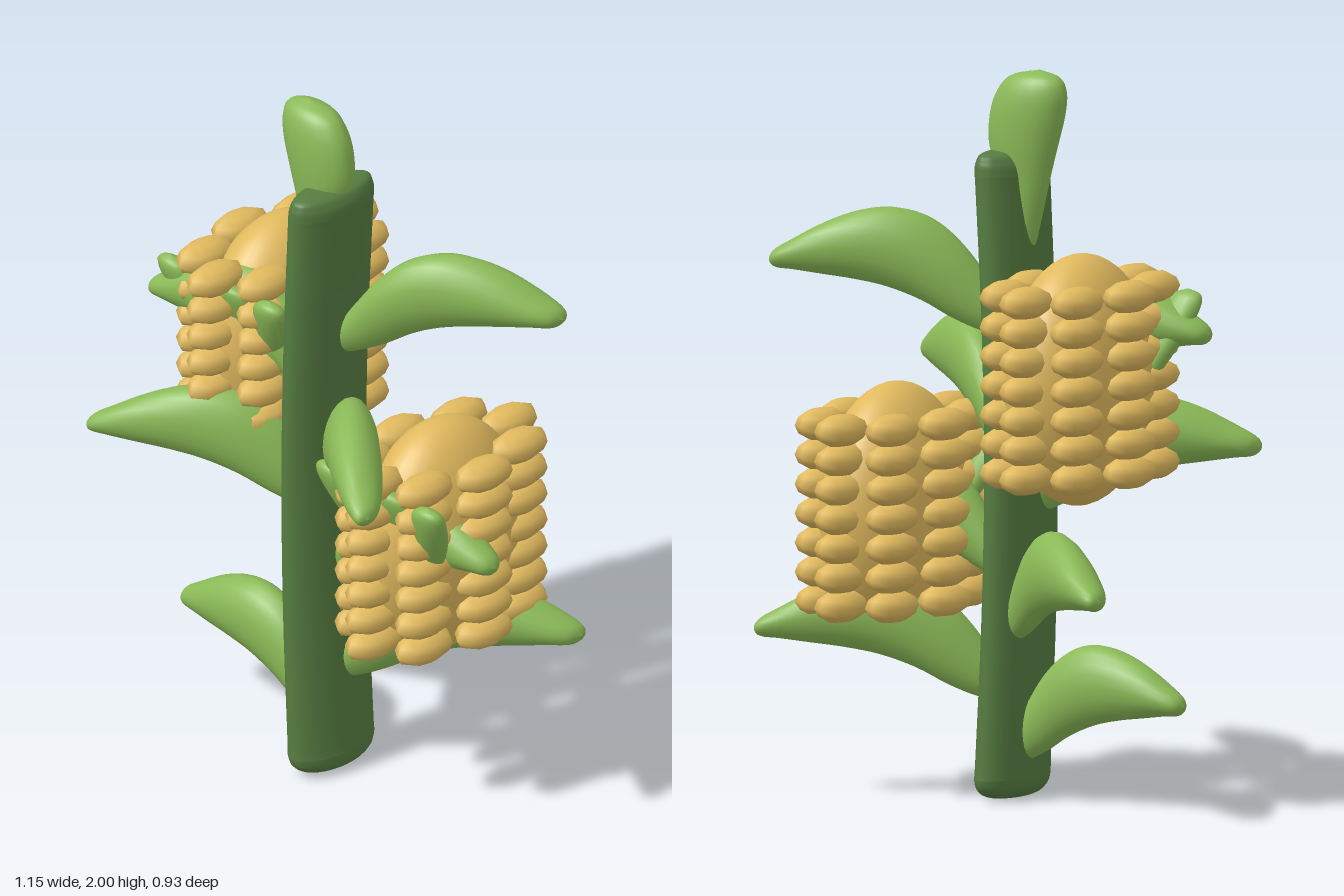
import * as THREE from 'three';
import { mergeGeometries } from 'three/addons/utils/BufferGeometryUtils.js';

// Smooth closed tube. Each row: centre [x, y, z] and half sizes [p, q].
// axis 'x': p = half height (y), q = half width (z); axis 'y': p = half depth (z), q = half width (x).
function loft(rows, axis, steps = 28, sides = 20) {
  const centre = new THREE.CatmullRomCurve3(rows.map(r => new THREE.Vector3(r[0], r[1], r[2])), false, 'catmullrom');
  const size = new THREE.CatmullRomCurve3(rows.map(r => new THREE.Vector3(r[3], r[4], 0)), false, 'catmullrom');
  const pos = [], index = [];
  for (let i = 0; i <= steps; i++) {
    const c = centre.getPoint(i / steps), s = size.getPoint(i / steps);
    for (let j = 0; j < sides; j++) {
      const a = (j / sides) * Math.PI * 2;
      const p = Math.max(s.x, 0.0005) * Math.cos(a), q = Math.max(s.y, 0.0005) * Math.sin(a);
      if (axis === 'x') pos.push(c.x, c.y + p, c.z + q);
      else pos.push(c.x + q, c.y, c.z + p);
      if (i === steps) continue;
      const k = (j + 1) % sides, A = i * sides + j, B = i * sides + k;
      index.push(A, B, A + sides, B, B + sides, A + sides);
    }
  }
  const g = new THREE.BufferGeometry();
  g.setAttribute('position', new THREE.Float32BufferAttribute(pos, 3));
  g.setIndex(index);
  g.computeVertexNormals();
  return g;
}

// Arched blade: distance from stalk, lower edge, upper edge, half width
const BLADE = [
  [0.01, 0.0, 0.0, 0.0], [0.03, -0.01, 0.09, 0.035], [0.07, 0.0, 0.16, 0.05],
  [0.13, 0.03, 0.245, 0.064], [0.2, 0.075, 0.305, 0.074], [0.28, 0.11, 0.33, 0.079],
  [0.36, 0.13, 0.32, 0.078], [0.44, 0.143, 0.288, 0.07], [0.515, 0.155, 0.242, 0.055],
  [0.56, 0.161, 0.212, 0.034], [0.574, 0.185, 0.185, 0.0],
];

export function createModel() {
  const group = new THREE.Group();
  const stalkGreen = new THREE.MeshStandardMaterial({ name: 'stalkGreen', color: 0x567c41 });
  const leafGreen = new THREE.MeshStandardMaterial({ name: 'leafGreen', color: 0x8bba57 });
  const cornYellow = new THREE.MeshStandardMaterial({ name: 'cornYellow', color: 0xe0b95e });

  const add = (parent, name, geometry, material) => {
    const m = new THREE.Mesh(geometry, material);
    m.name = name;
    parent.add(m);
    return m;
  };

  // Stalk: oval section, slightly bowed, rounded ends
  const bow = y => -0.032 * Math.sin((Math.PI * y) / 1.78);
  const stalkRows = [
    [0.004, 0, 0], [0.012, 0.045, 0.09], [0.03, 0.066, 0.13], [0.06, 0.073, 0.147], [0.12, 0.072, 0.147],
    [0.5, 0.069, 0.147], [0.9, 0.066, 0.147], [1.3, 0.067, 0.147], [1.66, 0.07, 0.147],
    [1.72, 0.071, 0.147], [1.75, 0.064, 0.143], [1.772, 0.045, 0.12], [1.778, 0, 0],
  ].map(([y, hx, hz]) => [bow(y), y, 0.01, hz, hx]);
  add(group, 'stalk', loft(stalkRows, 'y', 60, 28), stalkGreen);

  // Blades alternate left and right going up; each fans to its own depth at the tip
  const tipZ = [0.0, -0.36, -0.39, -0.04, 0.35, 0.43, 0.12, -0.29];
  tipZ.forEach((z, i) => {
    const side = i % 2 ? 1 : -1;
    const slope = (side * z) / 0.56;
    const base = 0.115 + 0.1665 * i;
    const rows = BLADE.map(([x, lo, up, w]) =>
      [x, base + (lo + up) / 2, slope * x, (up - lo) / 2, w * (0.9 + 0.35 * Math.abs(slope))]);
    const leaf = add(group, 'leaf' + (i + 1), loft(rows, 'x', 40), leafGreen);
    if (side < 0) leaf.rotation.y = Math.PI;
  });

  // Upright leaf at the top
  const topRows = [
    [-0.03, 1.42, 0, 0], [-0.035, 1.46, 0.025, 0.03], [-0.045, 1.6, 0.045, 0.058],
    [-0.047, 1.72, 0.058, 0.085], [-0.048, 1.8, 0.067, 0.106], [-0.062, 1.88, 0.069, 0.114],
    [-0.077, 1.94, 0.062, 0.105], [-0.088, 1.98, 0.042, 0.075], [-0.1, 2.0, 0, 0],
  ].map(([x, y, hz, hx]) => [x, y, 0, hz, hx]);
  add(group, 'topLeaf', loft(topRows, 'y', 36), leafGreen);

  // Kernel block: seven rings of eight low-poly kernels, half sunk in the core
  const kernels = [];
  for (let row = 0; row < 7; row++) {
    for (let k = 0; k < 8; k++) {
      const a = (k * Math.PI) / 4;
      kernels.push(new THREE.SphereGeometry(1, 8, 6).scale(0.057, 0.045, 0.1)
        .translate(0.163 * Math.cos(a), -0.24 + 0.08 * row, 0.255 * Math.sin(a)));
    }
  }
  const kernelGeometry = mergeGeometries(kernels);
  const coreGeometry = new THREE.SphereGeometry(1, 32, 24).scale(0.17, 0.343, 0.27);

  // Husk leaf standing against the front of a cob, leaning out by dx
  const husk = (dx, hx) => loft([
    [0, 0, 0, 0, 0], [0.05, 0.03, 0.05, 0.02, 0.35], [0.3, 0.09, 0.25, 0.034, 0.65],
    [0.6, 0.16, 0.55, 0.04, 0.9], [0.85, 0.23, 0.85, 0.036, 1],
    [0.97, 0.265, 0.97, 0.025, 0.75], [1, 0.28, 1, 0, 0],
  ].map(([t, y, d, hz, w]) => [dx * (0.6 + 0.4 * t), y - 0.045, 0.14 + 0.1 * d, hz, hx * w]), 'y', 24, 16);

  // Two cobs, one each side
  for (const [name, x, y] of [['leftCob', 0.302, 0.785], ['rightCob', -0.305, 1.185]]) {
    const cob = new THREE.Group();
    cob.name = name;
    cob.position.set(x, y, -0.105);
    add(cob, 'core', coreGeometry, cornYellow);
    add(cob, 'kernels', kernelGeometry, cornYellow);
    add(cob, 'innerHusk', husk(-0.19, 0.056), leafGreen);
    add(cob, 'middleHusk', husk(0, 0.1), leafGreen);
    add(cob, 'outerHusk', husk(0.19, 0.056), leafGreen);
    group.add(cob);
  }
  return group;
}
